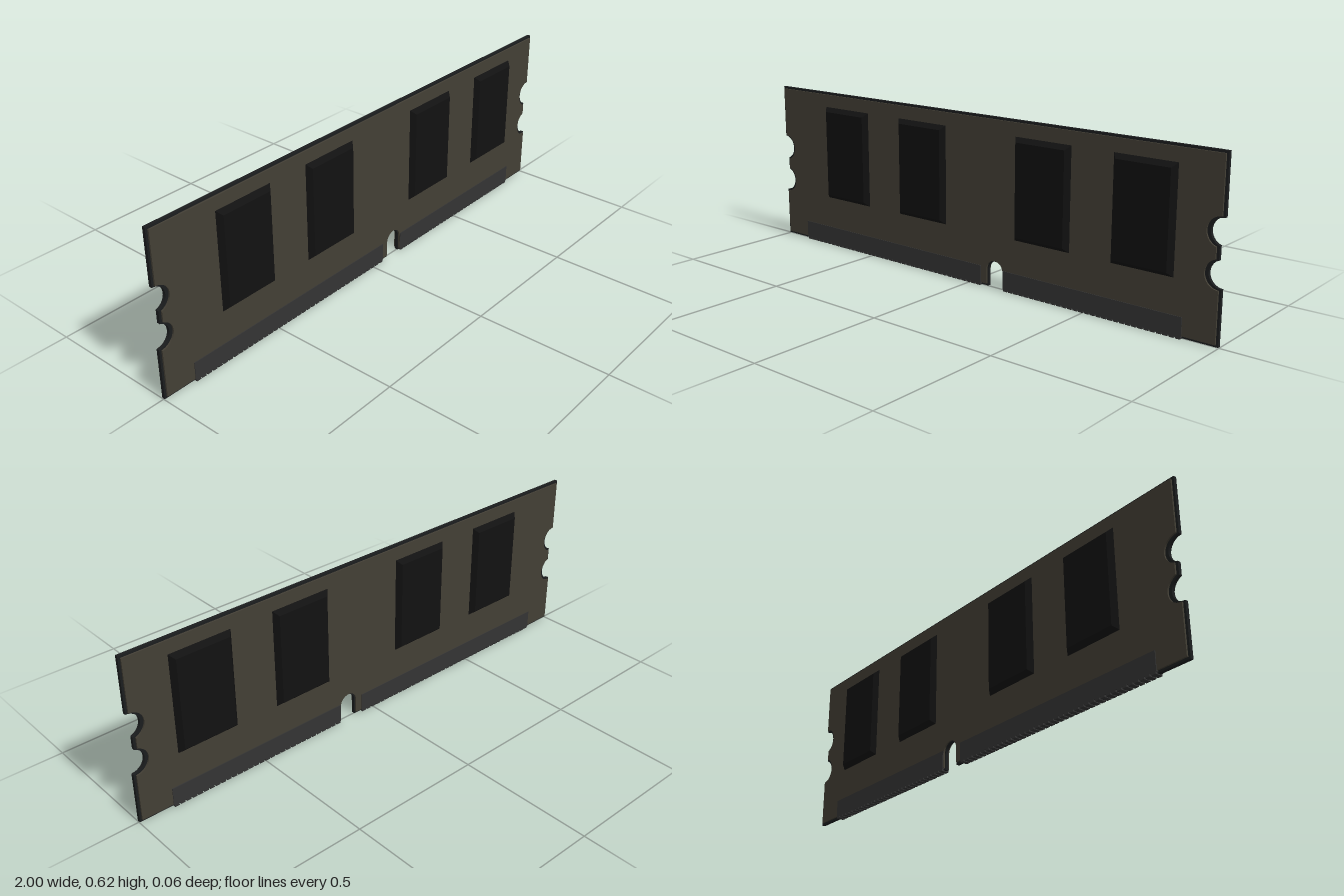
import * as THREE from 'three';

const mat = (color) => new THREE.MeshStandardMaterial({ color, flatShading: true });
const CORE = mat(0x1b1d1e), BOARD = mat(0x433f35), CHIP = mat(0x111111), CONTACT = mat(0x343434);

// Board outline with side notches and key slot, shrunk by an inset
function outline(inset) {
  const X = 1 - inset, top = 0.623 - inset, bottom = 0.003 + inset;
  const r = 0.046 + inset / 2, key = 0.0325 + inset / 2, kx = 0.118, ky = 0.067;
  const low = 0.237, high = 0.372, q = Math.PI / 2, lip = 0.3;
  const s = new THREE.Shape();
  s.moveTo(-X, bottom);
  s.lineTo(kx - key, bottom);
  s.lineTo(kx - key, ky);
  s.absarc(kx, ky, key, Math.PI, 0, true);
  s.lineTo(kx + key, bottom);
  s.lineTo(X, bottom);
  s.absarc(X, low, r, -q, q + lip, true);
  s.absarc(X, high, r, -q - lip, q, true);
  s.lineTo(X, top);
  s.lineTo(-X, top);
  s.absarc(-X, high, r, q, -q + lip, true);
  s.absarc(-X, low, r, q - lip, -q, true);
  s.closePath();
  return s;
}

function boardLayer(name, inset, halfDepth, material) {
  const geo = new THREE.ExtrudeGeometry(outline(inset), {
    depth: halfDepth * 2, bevelEnabled: false, curveSegments: 14,
  });
  geo.translate(0, 0, -halfDepth);
  const mesh = new THREE.Mesh(geo, material);
  mesh.name = name;
  return mesh;
}

// Block whose outward face is smaller than its base
function chipGeometry(w, h, depth, chamfer) {
  const geo = new THREE.BoxGeometry(w, h, depth);
  const p = geo.attributes.position;
  for (let i = 0; i < p.count; i++) {
    if (p.getZ(i) > 0) {
      p.setX(i, p.getX(i) - Math.sign(p.getX(i)) * chamfer);
      p.setY(i, p.getY(i) - Math.sign(p.getY(i)) * chamfer);
    }
  }
  geo.translate(0, 0, depth / 2);
  geo.computeVertexNormals();
  return geo;
}

export function createModel() {
  const group = new THREE.Group();
  group.name = 'memoryModule';

  // Circuit board: dark core between slightly smaller outer faces
  group.add(boardLayer('boardCore', 0, 0.006, CORE));
  group.add(boardLayer('boardFaces', 0.008, 0.012, BOARD));

  // Memory chips on both faces
  const chipGeo = chipGeometry(0.235, 0.37, 0.019, 0.017);
  for (const x of [-0.625, -0.228, 0.323, 0.721]) {
    for (const side of [1, -1]) {
      const chip = new THREE.Mesh(chipGeo, CHIP);
      chip.name = side > 0 ? 'frontChip' : 'backChip';
      chip.position.set(x, 0.382, side * 0.011);
      if (side < 0) chip.rotation.y = Math.PI;
      group.add(chip);
    }
  }

  // Edge contacts: a strip each side of the key slot with small pin tips
  const pitch = 0.0233;
  for (const [x0, x1] of [[-0.877, 0.055], [0.157, 0.875]]) {
    const strip = new THREE.Mesh(new THREE.BoxGeometry(x1 - x0, 0.068, 0.029), CONTACT);
    strip.name = 'contactStrip';
    strip.position.set((x0 + x1) / 2, 0.041, 0);
    group.add(strip);

    const count = Math.round((x1 - x0) / pitch), step = (x1 - x0) / count;
    const tips = new THREE.InstancedMesh(new THREE.BoxGeometry(step * 0.75, 0.008, 0.029), CONTACT, count);
    tips.name = 'contactTips';
    for (let i = 0; i < count; i++) {
      tips.setMatrixAt(i, new THREE.Matrix4().makeTranslation(x0 + (i + 0.5) * step, 0.004, 0));
    }
    group.add(tips);
  }
  return group;
}
